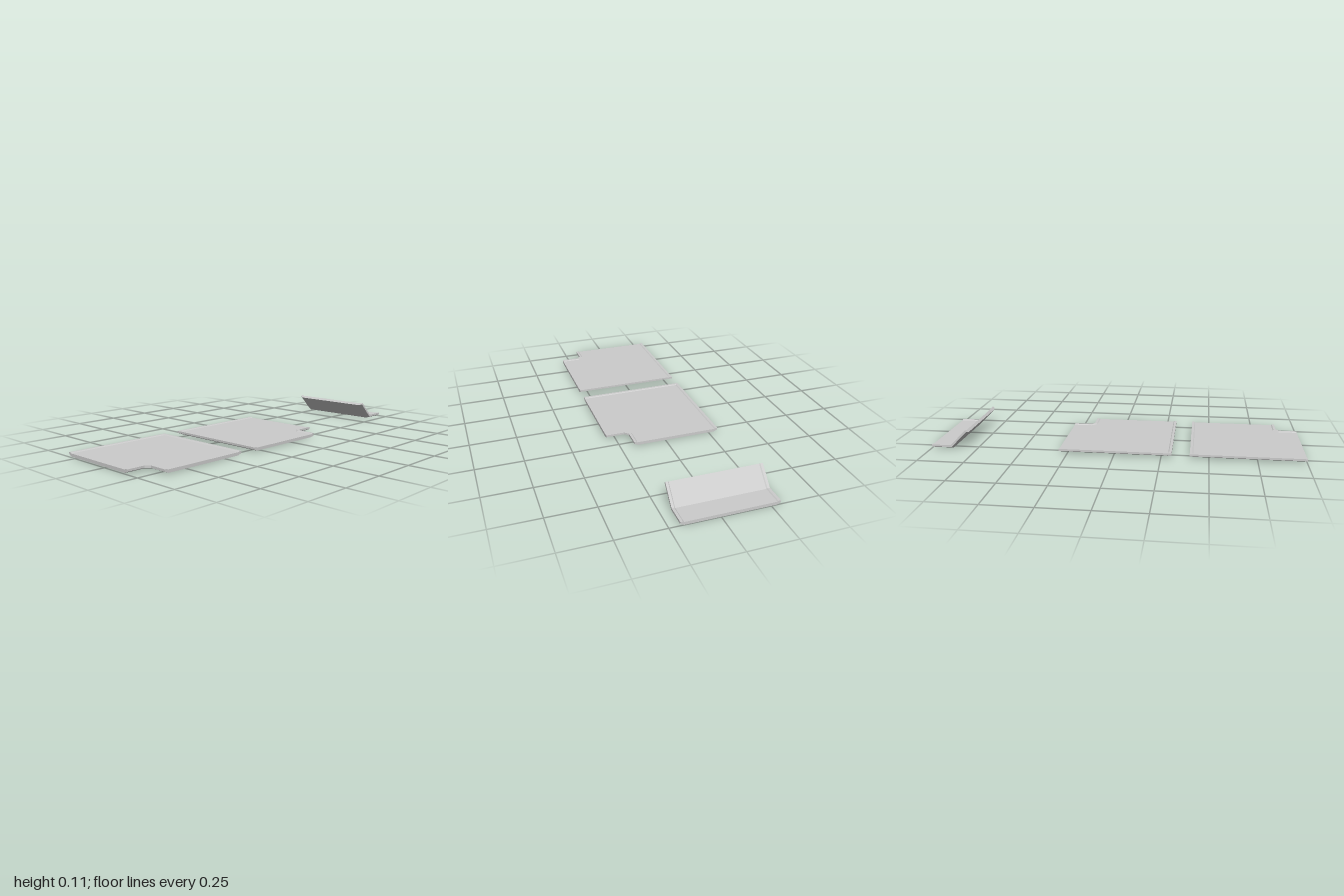
import * as THREE from 'three';

// Edge kinds: R = raised rim with chamfered underside, O = plain cut edge, S = seam (no wall)
const FLOOR = 0.016;
// [inset, height] cross-sections
const BODY = [[0.02, 0], [0, 0.009], [0, FLOOR]];
const RIM = [[0, FLOOR], [0, 0.02], [0.013, 0.02], [0.018, FLOOR]];

// Outline (x, w = -z, counter-clockwise from above) moved inward along rimmed edges only
function insetLoop(points, kinds, [inset, height]) {
  const n = points.length;
  const normal = (i) => {
    const [a, b] = [points[i], points[(i + 1) % n]];
    const l = Math.hypot(b[0] - a[0], b[1] - a[1]);
    return [-(b[1] - a[1]) / l, (b[0] - a[0]) / l];
  };
  return points.map((p, i) => {
    const prev = (i + n - 1) % n;
    const [a, b] = [normal(prev), normal(i)];
    const da = kinds[prev] === 'R' ? inset : 0;
    const db = kinds[i] === 'R' ? inset : 0;
    const det = a[0] * b[1] - a[1] * b[0];
    const x = p[0] + (da * b[1] - db * a[1]) / det;
    const w = p[1] + (a[0] * db - b[0] * da) / det;
    return new THREE.Vector3(x, height, -w);
  });
}

// Mat with a floor, chamfered underside and a low rim; map bends each point if given
function matGeometry(points, kinds, map = (p) => p) {
  const n = points.length;
  const out = [];
  const tri = (...ps) => ps.forEach((p) => {
    const q = map(p);
    out.push(q.x, q.y, q.z);
  });
  const strip = (a, b, i) => {
    const j = (i + 1) % n;
    tri(a[i], a[j], b[j]);
    tri(a[i], b[j], b[i]);
  };
  const body = BODY.map((s) => insetLoop(points, kinds, s));
  const rim = RIM.map((s) => insetLoop(points, kinds, s));

  // floor and underside
  const cap = (loop, up) => {
    const flat = loop.map((p) => new THREE.Vector2(p.x, -p.z));
    for (const [a, b, c] of THREE.ShapeUtils.triangulateShape(flat, [])) {
      if (up) tri(loop[a], loop[b], loop[c]);
      else tri(loop[a], loop[c], loop[b]);
    }
  };
  cap(body[2], true);
  cap(body[0], false);

  for (let i = 0; i < n; i++) {
    // side walls
    if (kinds[i] !== 'S') {
      for (let k = 0; k < 2; k++) strip(body[k], body[k + 1], i);
    }
    if (kinds[i] !== 'R') continue;
    // rim and its open ends
    for (let k = 0; k < 3; k++) strip(rim[k], rim[k + 1], i);
    const j = (i + 1) % n;
    if (kinds[(i + n - 1) % n] !== 'R') {
      const [a, b, c, d] = rim.map((l) => l[i]);
      tri(a, b, c);
      tri(a, c, d);
    }
    if (kinds[j] !== 'R') {
      const [a, b, c, d] = rim.map((l) => l[j]);
      tri(a, c, b);
      tri(a, d, c);
    }
  }
  const g = new THREE.BufferGeometry();
  g.setAttribute('position', new THREE.Float32BufferAttribute(out, 3));
  g.computeVertexNormals();
  return g;
}

export function createModel() {
  const model = new THREE.Group();
  const material = new THREE.MeshStandardMaterial({ color: 0xcccccc, flatShading: true });
  const add = (parent, name, geometry, y = 0) => {
    const mesh = new THREE.Mesh(geometry, material);
    mesh.name = name;
    mesh.position.y = y;
    parent.add(mesh);
  };

  // Two mirrored mats with a notched front corner
  const points = [
    [-0.305, -0.298], [0.18, -0.298], [0.18, -0.198], [0.2, -0.178],
    [0.295, -0.178], [0.295, 0.298], [-0.305, 0.298],
  ];
  const kinds = ['O', 'R', 'R', 'R', 'O', 'R', 'R'];
  const n = points.length;
  const mirrored = points.map(([x, w]) => [-0.705 - x, w]).reverse();
  const mirroredKinds = kinds.map((_, k) => kinds[(2 * n - 2 - k) % n]);
  add(model, 'centreMat', matGeometry(points, kinds), 0.005);
  add(model, 'rightMat', matGeometry(mirrored, mirroredKinds), 0.005);

  // Folded mat: flat base and sloped plate meeting at a mitred fold
  const folded = new THREE.Group();
  folded.name = 'foldedMat';
  const rect = [[0, -0.197], [1, -0.197], [1, 0.298], [0, 0.298]];
  const fold = (p) => 0.892 + 0.414 * (p.y - FLOOR);
  const flatMap = (p) => new THREE.Vector3(THREE.MathUtils.lerp(fold(p), 1, p.x), p.y, p.z);
  const slopeMap = (p) => {
    const h = 0.707 * (p.y - FLOOR);
    return new THREE.Vector3(
      THREE.MathUtils.lerp(0.805 + h, fold(p), p.x),
      THREE.MathUtils.lerp(0.104 + h, p.y, p.x),
      p.z,
    );
  };
  add(folded, 'foldedMatBase', matGeometry(rect, ['R', 'O', 'R', 'S'], flatMap));
  add(folded, 'foldedMatSlope', matGeometry(rect, ['R', 'S', 'R', 'O'], slopeMap));
  model.add(folded);

  return model;
}
